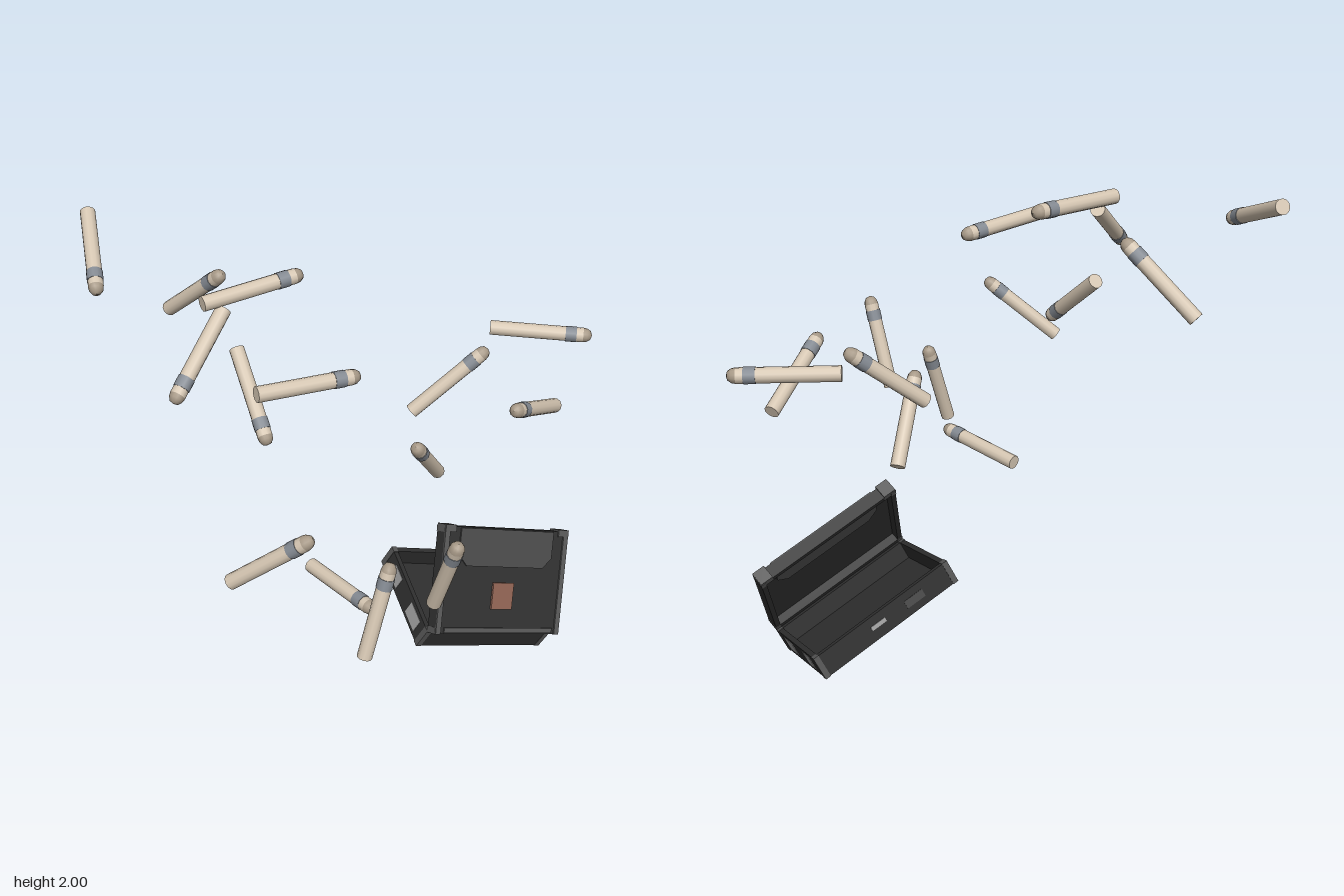
import * as THREE from 'three';

const mat = (color) => new THREE.MeshStandardMaterial({ color });
const shell = mat(0x2f2f2f), panel = mat(0x484848), rim = mat(0x555555);
const metal = mat(0xa0a0a0), brown = mat(0x8a5f50);
const wrapper = mat(0xd6c7b3), bandMat = mat(0x848a92), capMat = mat(0xa89a88);

const W = 0.664, D = 0.455; // case width and depth

function box(parent, name, w, h, d, x, y, z, m) {
  const mesh = new THREE.Mesh(new THREE.BoxGeometry(w, h, d), m);
  mesh.name = name;
  mesh.position.set(x, y, z);
  parent.add(mesh);
  return mesh;
}

// Open tray hinged along z = 0; plate at plateY, walls from y0 to y1
function tray(parent, name, y0, y1, plateY, plateT) {
  const h = y1 - y0, y = (y0 + y1) / 2, t = 0.022;
  box(parent, name + 'Plate', W, plateT, D, 0, plateY, -D / 2, shell);
  for (const z of [-t / 2, -D + t / 2]) box(parent, name + 'LongWall', W, h, t, 0, y, z, shell);
  for (const s of [-1, 1]) {
    box(parent, name + 'EndWall', t, h, D, s * (W - t) / 2, y, -D / 2, shell);
    for (const z of [-0.012, -D + 0.012])
      box(parent, name + 'Corner', 0.024, h + 0.004, 0.028, s * (W / 2 - 0.01), y, z, rim);
  }
}

function createBase() {
  const g = new THREE.Group();
  g.name = 'base';
  tray(g, 'base', -0.1, 0, -0.09, 0.02);
  for (const s of [-1, 1]) {
    // light plates on each end
    box(g, 'endPlate', 0.004, 0.065, 0.105, s * W / 2, -0.05, -0.115, metal);
    box(g, 'endPlate', 0.004, 0.065, 0.08, s * W / 2, -0.05, -0.33, metal);
  }
  box(g, 'backPlate', 0.09, 0.035, 0.004, -0.14, -0.05, -D, panel);
  box(g, 'backCatch', 0.07, 0.018, 0.006, 0.04, -0.045, -D, metal);
  return g;
}

function createLid() {
  const g = new THREE.Group();
  g.name = 'lid';
  tray(g, 'lid', 0, 0.055, 0.046, 0.016);
  // raised end rims with a bump at the free corners
  for (const s of [-1, 1]) {
    box(g, 'lidRim', 0.025, 0.01, D, s * (W / 2 - 0.0125), 0.056, -D / 2, rim);
    box(g, 'lidBump', 0.055, 0.062, 0.03, s * (W / 2 - 0.0275), 0.031, -D + 0.008, rim);
  }
  // chamfered flap running through the lid plate
  const a = 0.25, top = D - 0.004, low = D - 0.165, c = 0.045;
  const shape = new THREE.Shape([[-a, top], [-a, low + c], [-a + c, low], [a - c, low], [a, low + c], [a, top]]
    .map(([x, y]) => new THREE.Vector2(x, y)));
  const flap = new THREE.Mesh(new THREE.ExtrudeGeometry(shape, { depth: 0.03, bevelEnabled: false }), panel);
  flap.name = 'flap';
  flap.rotation.x = -Math.PI / 2;
  flap.position.y = 0.031;
  g.add(flap);
  box(g, 'clasp', 0.11, 0.012, 0.115, 0, 0.057, -0.165, brown);
  box(g, 'hingeBar', 0.58, 0.012, 0.022, 0, 0.056, -0.016, rim);
  g.rotation.x = 0.8;
  return g;
}

// Round stick standing on +y with a band and a rounded cap at the top
function createStick(tip, end) {
  const g = new THREE.Group();
  g.name = 'stick';
  const a = new THREE.Vector3(...end), b = new THREE.Vector3(...tip);
  const dir = b.clone().sub(a), L = dir.length(), r = 0.03;
  const add = (name, geo, y, m) => {
    const mesh = new THREE.Mesh(geo, m);
    mesh.name = name;
    mesh.position.y = y;
    g.add(mesh);
  };
  add('body', new THREE.CylinderGeometry(r, r, L - 0.035, 12), (L - 0.035) / 2, wrapper);
  add('band', new THREE.CylinderGeometry(r + 0.002, r + 0.002, 0.045, 12), L - 0.085, bandMat);
  const cap = [[r, 0], [r * 0.9, 0.016], [r * 0.6, 0.03], [0, 0.036]].map(([x, y]) => new THREE.Vector2(x, y));
  add('cap', new THREE.LatheGeometry(cap, 12), L - 0.035, capMat);
  g.position.copy(a);
  g.quaternion.setFromUnitVectors(new THREE.Vector3(0, 1, 0), dir.normalize());
  return g;
}

export function createModel() {
  const model = new THREE.Group();
  model.name = 'openCaseWithSticks';

  // tilted, half-open case
  const box3 = new THREE.Group();
  box3.name = 'case';
  box3.add(createBase(), createLid());
  const u = new THREE.Vector3(0.925, -0.361, -0.09).normalize();
  const up = u.clone().cross(new THREE.Vector3(0.02, 0.286, -0.958)).normalize();
  const front = u.clone().cross(up);
  box3.quaternion.setFromRotationMatrix(new THREE.Matrix4().makeBasis(u, up, front));
  box3.position.set(0.455, 0.21, 0.2);
  model.add(box3);

  // flying sticks: rounded tip, flat end
  const sticks = [
    [[-0.96, 1.81, -0.43], [-0.9, 1.975, -0.8]],
    [[-0.22, 1.875, -0.195], [-0.63, 1.86, -0.125]],
    [[-0.81, 1.585, 0.07], [-0.55, 1.82, -0.13]],
    [[-0.47, 1.805, -0.43], [-0.635, 1.55, -0.695]],
    [[-0.15, 1.66, 0.24], [-0.555, 1.69, 0.28]],
    [[-0.46, 1.315, 0.06], [-0.48, 1.575, -0.245]],
    [[-0.475, 1.28, 0.635], [-0.74, 1.03, 0.46]],
    [[-0.155, 1.04, 0.575], [-0.28, 0.655, 0.625]],
    [[-0.17, 0.705, 0.435], [-0.3, 0.68, 0.05]],
    [[0.02, 1.235, 0.79], [-0.005, 0.855, 0.64]],
    [[0.135, 1.185, 0.095], [0.32, 0.89, -0.11]],
    [[0.53, 1.435, -0.12], [0.22, 1.18, -0.165]],
    [[0.485, 1.36, 0.235], [0.785, 1.185, 0.01]],
    [[0.985, 1.42, -0.09], [0.615, 1.43, -0.285]],
  ];
  for (const [tip, end] of sticks) model.add(createStick(tip, end));
  return model;
}
